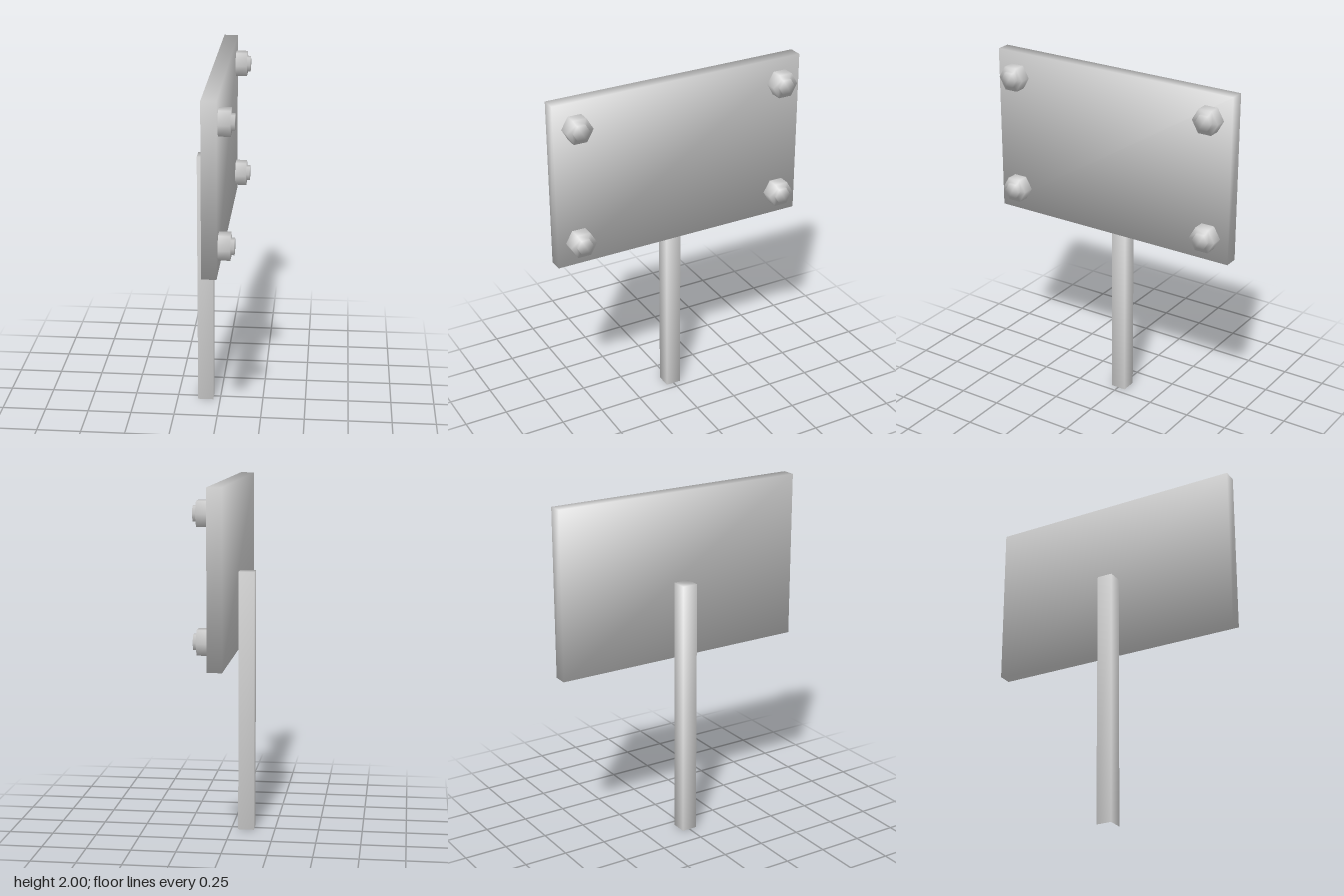
import * as THREE from 'three';
import { mergeVertices } from 'three/addons/utils/BufferGeometryUtils.js';

// Weld corners and give each one the average of the distinct faces around it.
function softShade(geometry) {
  geometry.deleteAttribute('uv');
  geometry.deleteAttribute('normal');
  const welded = mergeVertices(geometry);
  const pos = welded.attributes.position;
  const index = welded.index;
  const faces = Array.from({ length: pos.count }, () => []);
  const tri = new THREE.Triangle();
  for (let i = 0; i < index.count; i += 3) {
    const ids = [0, 1, 2].map((k) => index.getX(i + k));
    tri.setFromAttributeAndIndices(pos, ...ids);
    if (tri.getArea() < 1e-9) continue;
    const n = tri.getNormal(new THREE.Vector3());
    for (const id of ids) {
      if (!faces[id].some((m) => m.dot(n) > 0.999)) faces[id].push(n);
    }
  }
  const normals = faces.flatMap((list) =>
    list.reduce((sum, n) => sum.add(n), new THREE.Vector3()).normalize().toArray());
  welded.setAttribute('normal', new THREE.Float32BufferAttribute(normals, 3));
  return welded;
}

export function createModel() {
  const group = new THREE.Group();
  const material = new THREE.MeshStandardMaterial({ color: 0xcccccc });

  const add = (name, geometry, x, y, z) => {
    const mesh = new THREE.Mesh(geometry, material);
    mesh.name = name;
    mesh.position.set(x, y, z);
    group.add(mesh);
  };

  // Sign board
  add('board', softShade(new THREE.BoxGeometry(0.08, 0.95, 1.5)), 0, 1.525, 0);

  // Square post behind the board, open at the foot
  const postBox = new THREE.BoxGeometry(0.09, 1.49, 0.09);
  const sides = Array.from(postBox.index.array);
  sides.splice(18, 6);
  postBox.setIndex(sides);
  postBox.clearGroups();
  add('post', softShade(postBox), -0.085, 0.745, 0);

  // Hexagonal bolt: wide nut with a short narrow stud, pointing along +x
  const profile = [[0.077, 0], [0.077, 0.065], [0.047, 0.065], [0.047, 0.085], [0, 0.085]];
  const bolt = softShade(
    new THREE.LatheGeometry(profile.map((p) => new THREE.Vector2(...p)), 6).rotateZ(-Math.PI / 2));

  // One bolt near each corner
  for (const [row, y] of [['upper', 1.86], ['lower', 1.19]]) {
    for (const [side, z] of [['Front', 0.623], ['Back', -0.623]]) {
      add(`${row}${side}Bolt`, bolt, 0.04, y, z);
    }
  }

  return group;
}
